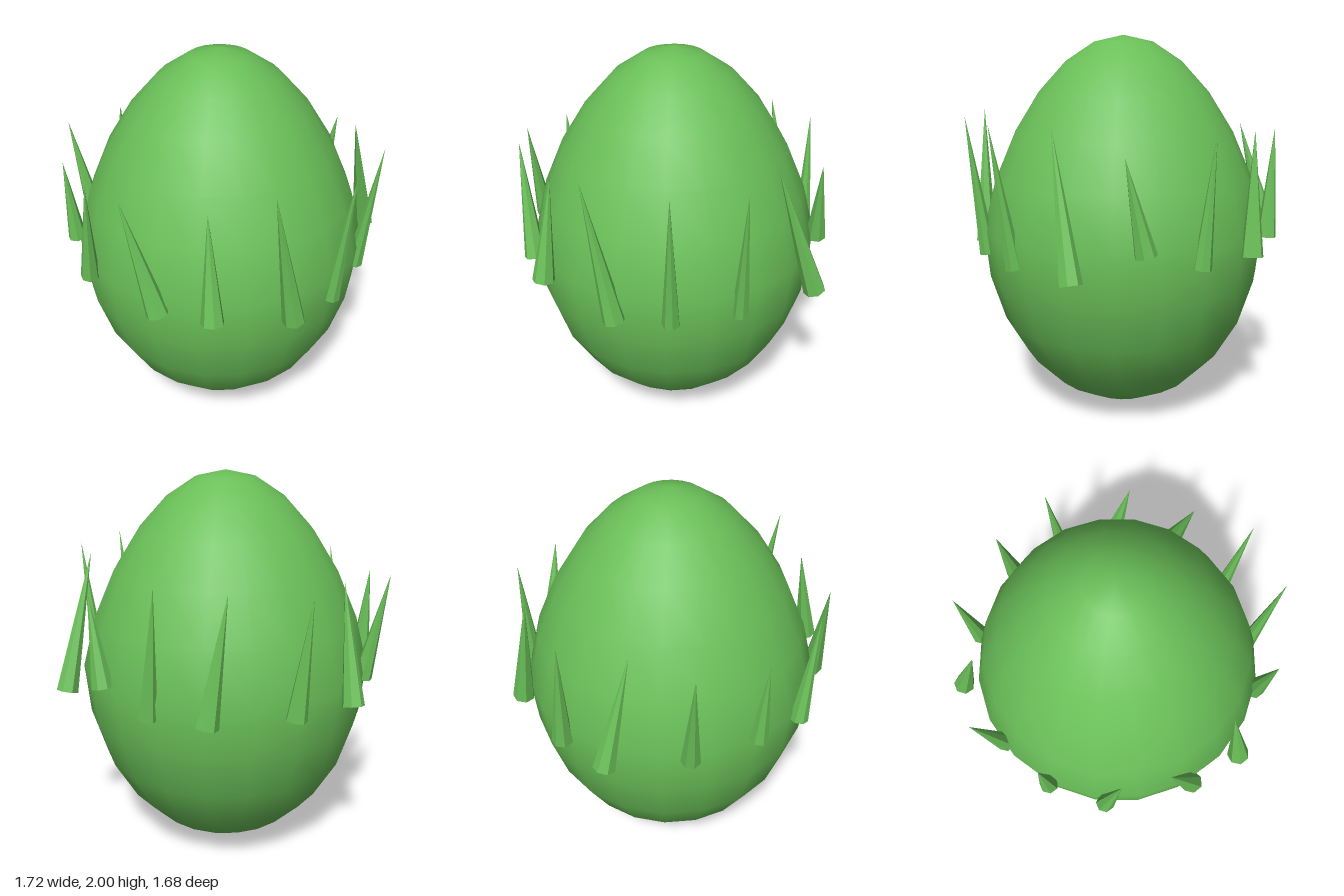
import * as THREE from 'three';
import { mergeVertices } from 'three/addons/utils/BufferGeometryUtils.js';

// Smooth egg: a sphere whose upper half narrows towards the top
function eggGeometry() {
  const sphere = new THREE.SphereGeometry(1, 20, 12);
  sphere.deleteAttribute('uv');
  sphere.deleteAttribute('normal');
  const geo = mergeVertices(sphere, 1e-4);
  const p = geo.attributes.position;
  for (let i = 0; i < p.count; i++) {
    const y = p.getY(i);
    const r = 0.757 * (1 - 0.22 * Math.max(0, y));
    p.setXYZ(i, p.getX(i) * r, y, p.getZ(i) * r);
  }
  geo.computeVertexNormals();
  return geo;
}

// Faceted cone running from its base centre to its tip
function spike(base, tip, radius, material) {
  const a = new THREE.Vector3(...base);
  const dir = new THREE.Vector3(...tip).sub(a);
  const length = dir.length();
  const geo = new THREE.ConeGeometry(radius, length, 7).toNonIndexed();
  geo.translate(0, length / 2, 0);
  geo.computeVertexNormals();
  const mesh = new THREE.Mesh(geo, material);
  mesh.quaternion.setFromUnitVectors(new THREE.Vector3(0, 1, 0), dir.normalize());
  mesh.position.copy(a);
  return mesh;
}

export function createModel() {
  const model = new THREE.Group();
  model.name = 'spikedEgg';
  const green = new THREE.MeshStandardMaterial({ color: 0x6abf58 });
  green.name = 'leafGreen';

  const egg = new THREE.Mesh(eggGeometry(), green);
  egg.name = 'eggBody';
  egg.position.set(-0.05, 1, -0.018);
  model.add(egg);

  // Uneven ring of spikes: base, tip, radius
  const spikes = [
    [[-0.545, 0.96, -0.70], [-0.527, 1.52, -0.54], 0.055],
    [[-0.25, 0.94, -0.77], [-0.31, 1.525, -0.78], 0.052],
    [[0.17, 0.935, -0.785], [0.07, 1.545, -0.755], 0.056],
    [[0.42, 0.92, -0.605], [0.385, 1.56, -0.65], 0.046],
    [[0.62, 1.01, -0.395], [0.67, 1.465, -0.31], 0.055],
    [[0.80, 0.89, -0.10], [0.64, 1.585, 0.065], 0.057],
    [[0.62, 0.88, 0.29], [0.69, 1.585, 0.368], 0.045],
    [[0.41, 0.88, 0.565], [0.467, 1.6, 0.638], 0.045],
    [[0.18, 0.88, 0.715], [0.06, 1.6, 0.77], 0.057],
    [[-0.225, 0.975, 0.785], [-0.225, 1.5, 0.69], 0.057],
    [[-0.463, 0.945, 0.63], [-0.605, 1.53, 0.545], 0.057],
    [[-0.767, 0.96, 0.28], [-0.745, 1.515, 0.37], 0.048],
    [[-0.82, 1.015, -0.015], [-0.85, 1.46, -0.01], 0.048],
    [[-0.72, 0.96, -0.335], [-0.816, 1.515, -0.385], 0.05],
  ];
  const ring = new THREE.Group();
  ring.name = 'spikeRing';
  spikes.forEach(([base, tip, radius], i) => {
    const mesh = spike(base, tip, radius, green);
    mesh.name = `spike${i + 1}`;
    ring.add(mesh);
  });
  model.add(ring);
  return model;
}
